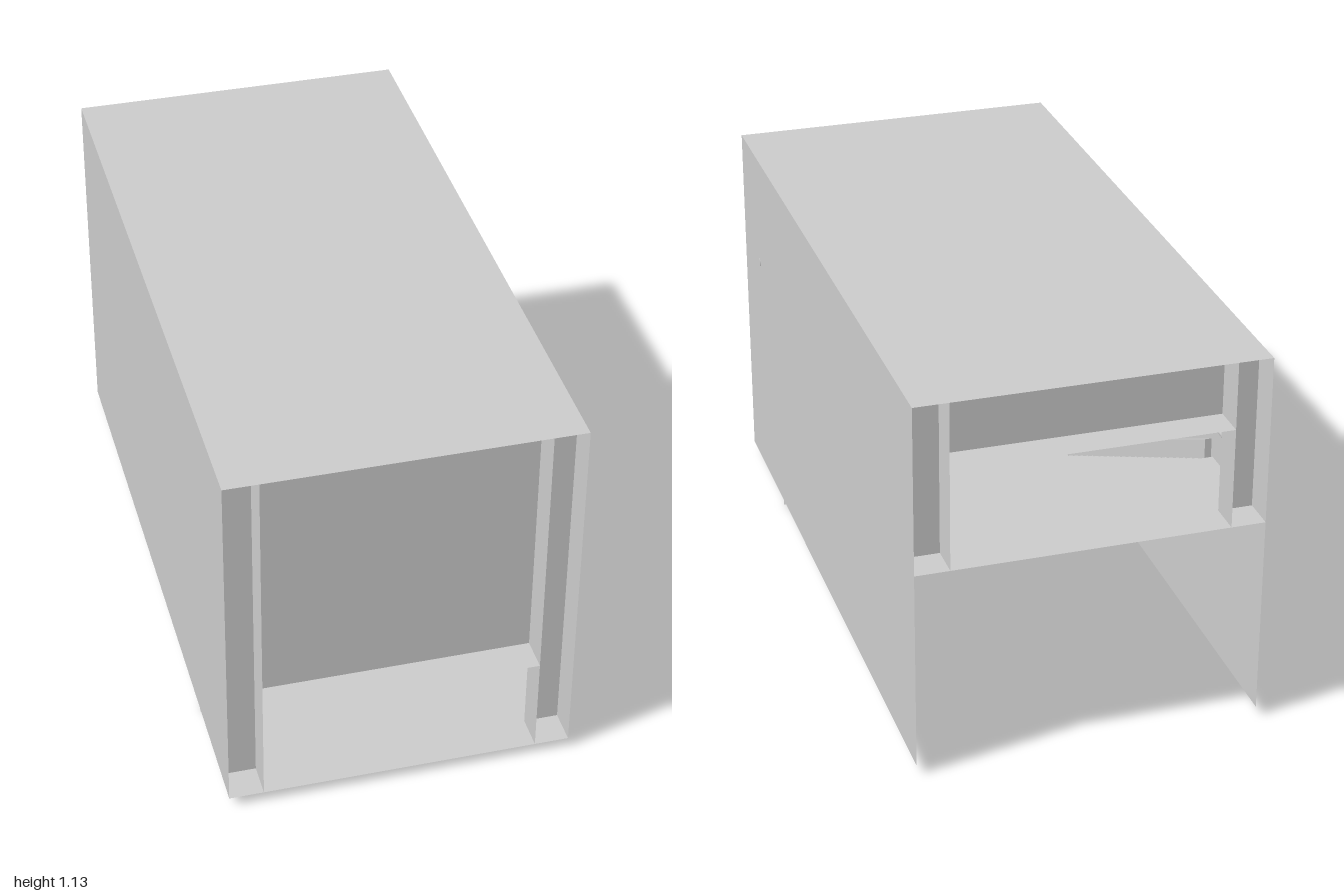
import * as THREE from 'three';
import { mergeGeometries } from 'three/addons/utils/BufferGeometryUtils.js';

const material = new THREE.MeshStandardMaterial({ color: 0xcccccc, side: THREE.DoubleSide });

const BASE = 0.03, RISE = 0.6, TOP = 1.13, DOOR = 0.3;
const STEPS = 24, RISER = RISE / STEPS, TREAD = 0.05;

// flat sheets, each spanning two axes at a fixed third one
function sheetX(x, y0, y1, z0, z1) {
  return new THREE.PlaneGeometry(z1 - z0, y1 - y0).rotateY(Math.PI / 2)
    .translate(x, (y0 + y1) / 2, (z0 + z1) / 2);
}
function sheetY(y, x0, x1, z0, z1) {
  return new THREE.PlaneGeometry(x1 - x0, z1 - z0).rotateX(-Math.PI / 2)
    .translate((x0 + x1) / 2, y, (z0 + z1) / 2);
}
function sheetZ(z, x0, x1, y0, y1) {
  return new THREE.PlaneGeometry(x1 - x0, y1 - y0)
    .translate((x0 + x1) / 2, (y0 + y1) / 2, z);
}

export function createModel() {
  const model = new THREE.Group();
  const add = (name, geometry) => {
    const mesh = new THREE.Mesh(geometry, material);
    mesh.name = name;
    model.add(mesh);
  };

  // outer shell, open underneath
  add('roof', sheetY(TOP, -0.5, 0.5, -1, 1));
  for (const s of [-1, 1]) add(s > 0 ? 'leftWall' : 'rightWall', sheetX(s * 0.5, BASE, TOP, -1, 1));

  // landings
  add('lowerLanding', sheetY(BASE, -0.5, 0.5, 0.55, 1));
  add('upperLanding', sheetY(BASE + RISE, -0.5, 0.5, -1, -0.6));

  // entrances: recessed wall with doorway, jambs and a lintel ledge
  for (const [name, end, floor] of [['lowerEntrance', 1, BASE], ['upperEntrance', -1, BASE + RISE]]) {
    const z0 = end > 0 ? 0.9 : -1, z1 = z0 + 0.1;
    const parts = [
      sheetZ(end * 0.9, -0.4, 0.4, floor + DOOR, TOP),
      sheetY(floor + DOOR, -0.4, 0.4, z0, z1),
    ];
    for (const s of [-1, 1]) {
      parts.push(sheetX(s * 0.4, floor, TOP, z0, z1));
      parts.push(sheetZ(end * 0.9, s > 0 ? 0.4 : -0.5, s > 0 ? 0.5 : -0.4, floor, TOP));
    }
    add(name, mergeGeometries(parts));
  }

  // flight of steps, rising toward the back
  const steps = [];
  for (let i = 0; i < STEPS; i++) {
    const z = 0.55 - i * TREAD, y = BASE + i * RISER;
    steps.push(sheetZ(z, -0.5, 0.5, y, y + RISER));
    if (i < STEPS - 1) steps.push(sheetY(y + RISER, -0.5, 0.5, z - TREAD, z));
  }
  add('steps', mergeGeometries(steps));

  // sloped skirts and handrails along both walls
  const skirt = new THREE.Shape([[0.6, 0], [-0.6, 0.6], [-0.6, 0.69], [0.6, 0.09]]
    .map(([z, y]) => new THREE.Vector2(-z, y)));
  for (const s of [-1, 1]) {
    const side = s > 0 ? 'left' : 'right';
    add(side + 'Skirt', new THREE.ExtrudeGeometry(skirt, { depth: 0.02, bevelEnabled: false })
      .rotateY(Math.PI / 2).translate(s * 0.485 - 0.01, 0, 0));

    const rail = new THREE.CurvePath();
    const points = [[0.8, 0.175], [0.6, 0.175], [-0.6, 0.775], [-0.8, 0.775]]
      .map(([z, y]) => new THREE.Vector3(s * 0.475, y, z));
    for (let i = 0; i < 3; i++) rail.add(new THREE.LineCurve3(points[i], points[i + 1]));
    add(side + 'Handrail', new THREE.TubeGeometry(rail, 48, 0.012, 10));
  }

  // small knob showing through the left wall
  add('wallKnob', new THREE.CylinderGeometry(0.013, 0.013, 0.02, 10)
    .rotateZ(Math.PI / 2).translate(0.492, 0.775, 0.8));

  return model;
}
